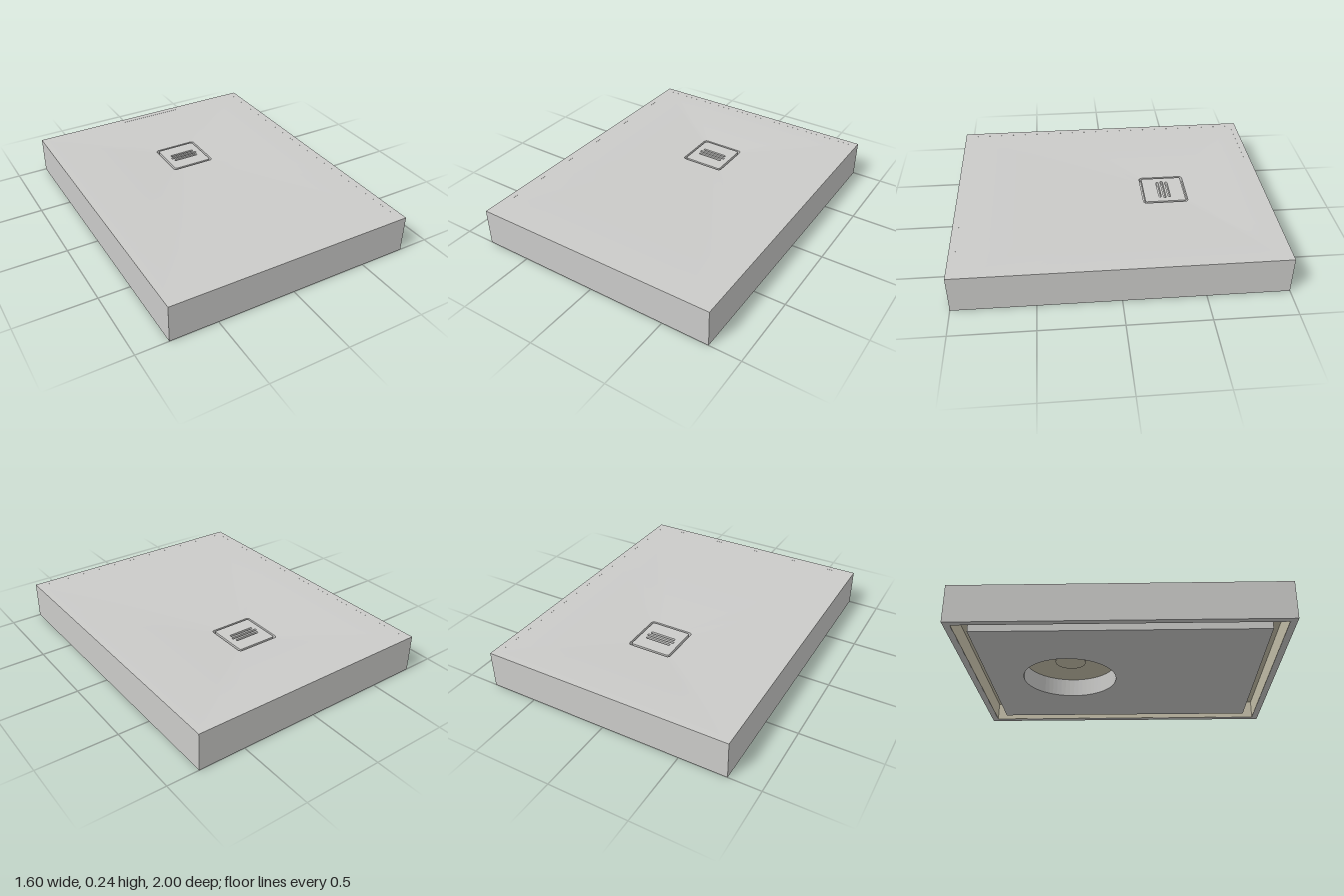
import * as THREE from 'three';

const mat = (name, color, side = THREE.FrontSide) => {
  const m = new THREE.MeshStandardMaterial({ color, side });
  m.name = name;
  return m;
};

const W = 0.8, D = 1, H = 0.24;      // half width, half depth, height
const RIM = 0.04, INSET = 0.12;      // rim thickness, base block inset
const UNDER = 0.12, DIP = 0.22;      // underside level, surface level at the drain
const DZ = -0.345;                   // drain centre in z

function rect(hw, hd, Type = THREE.Shape) {
  return new Type([[-hw, -hd], [hw, -hd], [hw, hd], [-hw, hd]].map(p => new THREE.Vector2(...p)));
}

// Rounded rectangle centred on (cx, cy)
function rounded(hw, hd, r, cx = 0, cy = 0, Type = THREE.Shape) {
  const s = new Type();
  s.absarc(cx + hw - r, cy + hd - r, r, 0, Math.PI / 2);
  s.absarc(cx - hw + r, cy + hd - r, r, Math.PI / 2, Math.PI);
  s.absarc(cx - hw + r, cy - hd + r, r, Math.PI, Math.PI * 1.5);
  s.absarc(cx + hw - r, cy - hd + r, r, Math.PI * 1.5, Math.PI * 2);
  s.closePath();
  return s;
}

// Extrude a plan shape upward from y0 to y1 (shape y becomes -z)
function slab(shape, y0, y1, segments = 8) {
  return new THREE.ExtrudeGeometry(shape, { depth: y1 - y0, bevelEnabled: false, curveSegments: segments })
    .rotateX(-Math.PI / 2).translate(0, y0, 0);
}

// Shower floor: rings running from the drain opening out to the straight edges
function floorGeometry(half, r) {
  const inner = rounded(half, half, r).getPoints(6);
  const angles = inner.map(p => Math.atan2(p.y, p.x));
  for (const x of [-W, W]) for (const z of [-D, D]) angles.push(Math.atan2(-(z - DZ), x));
  for (let i = 0; i < 72; i++) angles.push(-Math.PI + (i + 0.5) * Math.PI / 36);
  const sorted = angles.sort((a, b) => a - b).filter((a, i, s) => i === 0 || a - s[i - 1] > 1e-4);

  // distance from the drain centre to the opening and to the outer edge
  const innerDist = (c, s) => {
    const ax = Math.abs(c), ay = Math.abs(s), k = half - r;
    const d = half / Math.max(ax, ay);
    if (d * Math.min(ax, ay) <= k) return d;
    const b = k * (ax + ay);
    return b + Math.sqrt(Math.max(0, b * b - 2 * k * k + r * r));
  };
  const outerDist = (c, s) => Math.min(
    W / Math.max(Math.abs(c), 1e-9),
    (s > 0 ? D + DZ : D - DZ) / Math.max(Math.abs(s), 1e-9));

  const rings = 6, n = sorted.length, pos = [], index = [];
  for (let k = 0; k <= rings; k++) {
    const t = k / rings;
    for (const a of sorted) {
      const c = Math.cos(a), s = Math.sin(a);
      const d = THREE.MathUtils.lerp(innerDist(c, s), outerDist(c, s), t);
      pos.push(c * d, DIP + (H - DIP) * Math.sin(t * Math.PI / 2), DZ - s * d);
    }
  }
  for (let k = 0; k < rings; k++) for (let i = 0; i < n; i++) {
    const j = (i + 1) % n, a = k * n + i, b = k * n + j;
    index.push(a, a + n, b, b, a + n, b + n);
  }
  const g = new THREE.BufferGeometry();
  g.setAttribute('position', new THREE.Float32BufferAttribute(pos, 3));
  g.setIndex(index);
  g.computeVertexNormals();
  return g;
}

export function createModel() {
  const model = new THREE.Group();
  model.name = 'showerTray';
  const grey = mat('stoneGrey', 0xcbcbc9);
  const greyOpen = mat('stoneGreySurface', 0xcbcbc9, THREE.DoubleSide);
  const cream = mat('creamLiner', 0xcac4ae);
  const add = (name, geometry, material) => {
    const m = new THREE.Mesh(geometry, material);
    m.name = name;
    model.add(m);
    return m;
  };

  // Outer skirt
  const skirt = rect(W, D);
  skirt.holes.push(rect(W - RIM, D - RIM, THREE.Path));
  add('skirt', slab(skirt, 0, H), grey);

  // Sloping floor
  add('floor', floorGeometry(0.145, 0.02), greyOpen);

  // Drain recess: walls and bottom around the cover
  const recess = rounded(0.155, 0.155, 0.03, 0, -DZ);
  recess.holes.push(rounded(0.145, 0.145, 0.02, 0, -DZ, THREE.Path));
  add('drainRecessWall', slab(recess, 0.19, DIP - 0.001), grey);
  add('drainRecessBottom', slab(rounded(0.15, 0.15, 0.02, 0, -DZ), 0.18, 0.19), grey);

  // Drain cover with three slots
  const cover = rounded(0.131, 0.131, 0.012, 0, -DZ);
  [[0.03, 0.085], [0, 0.095], [-0.03, 0.085]].forEach(([dy, half]) =>
    cover.holes.push(rounded(half, 0.008, 0.0079, 0, -DZ + dy, THREE.Path)));
  add('drainCover', slab(cover, 0.19, DIP), grey);

  // Cream lining on the underside and inside the skirt
  add('underside', new THREE.BoxGeometry(2 * (W - RIM), 0.01, 2 * (D - RIM)).translate(0, UNDER + 0.005, 0), cream);
  const lining = rect(W - RIM + 0.002, D - RIM + 0.002);
  lining.holes.push(rect(W - RIM - 0.002, D - RIM - 0.002, THREE.Path));
  add('skirtLining', slab(lining, 0.001, UNDER), cream);

  // Base block with the round drain opening
  const base = rect(W - INSET, D - INSET);
  base.holes.push(new THREE.Path().absarc(0, -DZ, 0.303, 0, Math.PI * 2, true));
  add('baseBlock', slab(base, 0, UNDER, 32), grey);

  // Drain outlet seat above the opening
  add('drainOutlet', new THREE.CylinderGeometry(0.1, 0.1, 0.006, 40).translate(0, UNDER - 0.002, DZ), cream);
  return model;
}
